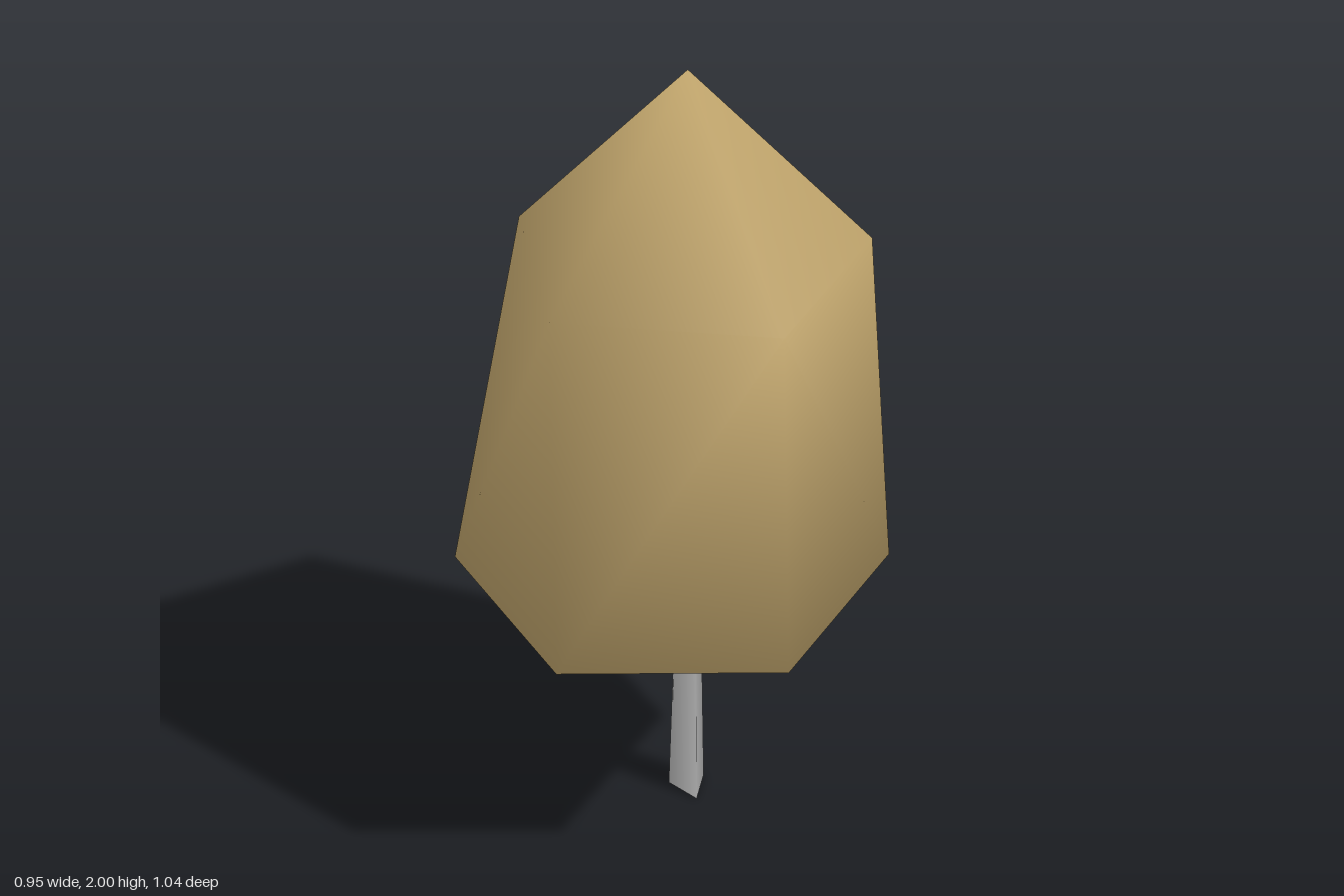
import * as THREE from 'three';

const foliage = new THREE.MeshStandardMaterial({ color: 0xc4a86e, side: THREE.DoubleSide });
foliage.name = 'tan foliage';
const bark = new THREE.MeshStandardMaterial({ color: 0xb2b2b2, side: THREE.DoubleSide });
bark.name = 'grey bark';

// Ring of evenly spaced points; angles in degrees from +x towards +z
function ring(count, start, radius, cx, cz, height) {
  return Array.from({ length: count }, (_, i) => {
    const angle = start + (i * 360) / count;
    const a = THREE.MathUtils.degToRad(angle);
    const x = cx + radius * Math.cos(a);
    const z = cz + radius * Math.sin(a);
    return { angle, a, p: [x, height(z), z] };
  });
}

// Open crown: six-sided hem, five-sided shoulder and a pointed tip
function crownGeometry() {
  const hem = ring(6, 25, 0.522, 0, 0, (z) => 0.737 - 0.01 * z);
  const shoulder = ring(5, 26.7, 0.422, 0.033, -0.01, () => 1.56);
  const positions = [...hem, ...shoulder].flatMap((v) => v.p).concat([0.035, 2, -0.008]);

  // Soft normals: the hem leans down, the shoulder leans up
  const normals = [];
  const lean = (v, y) => new THREE.Vector3(Math.cos(v.a), y, Math.sin(v.a)).normalize().toArray();
  hem.forEach((v) => normals.push(...lean(v, -0.6)));
  shoulder.forEach((v) => normals.push(...lean(v, 0.4)));
  normals.push(0, 1, 0);

  // Stitch the two rings together by angle
  const index = [];
  const h = (i) => i % 6;
  const s = (j) => 6 + (j % 5);
  let i = 0;
  let j = 0;
  while (i < 6 || j < 5) {
    const nextHem = 25 + (i + 1) * 60;
    const nextShoulder = 26.7 + (j + 1) * 72;
    if (j < 5 && (i === 6 || nextShoulder < nextHem + 3)) {
      index.push(h(i), s(j), s(j + 1));
      j++;
    } else {
      index.push(h(i + 1), h(i), s(j));
      i++;
    }
  }
  // Pointed roof
  for (let k = 0; k < 5; k++) index.push(s(k + 1), s(k), 11);

  const geometry = new THREE.BufferGeometry();
  geometry.setAttribute('position', new THREE.Float32BufferAttribute(positions, 3));
  geometry.setAttribute('normal', new THREE.Float32BufferAttribute(normals, 3));
  geometry.setIndex(index);
  return geometry;
}

export function createModel() {
  const tree = new THREE.Group();
  tree.name = 'tree';

  const crown = new THREE.Mesh(crownGeometry(), foliage);
  crown.name = 'crown';
  tree.add(crown);

  // Three-sided tapering trunk running up inside the crown
  const height = 1.56;
  const trunk = new THREE.Mesh(new THREE.CylinderGeometry(0.01, 0.055, height, 3, 1, true, 0.93), bark);
  trunk.name = 'trunk';
  trunk.position.set(0.03, height / 2, -0.037);
  tree.add(trunk);

  return tree;
}
